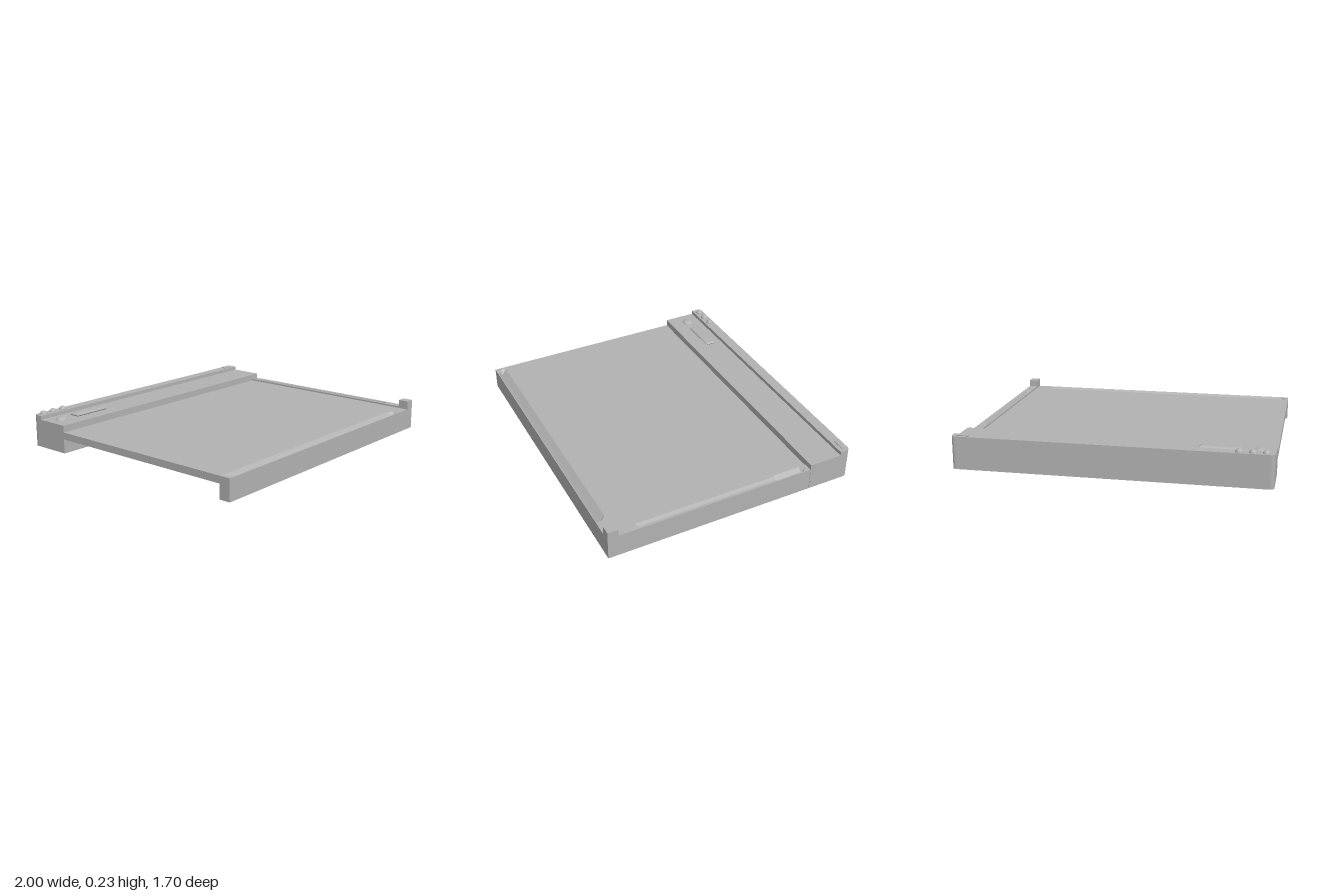
import * as THREE from 'three';

const grey = new THREE.MeshStandardMaterial({ color: 0xb2b2b2 });
grey.name = 'plain grey';

function add(group, name, geometry, x = 0, y = 0, z = 0) {
  const mesh = new THREE.Mesh(geometry, grey);
  mesh.name = name;
  mesh.position.set(x, y, z);
  group.add(mesh);
  return mesh;
}

// Box given by its limits on each axis
function box(group, name, x0, x1, y0, y1, z0, z1) {
  return add(group, name, new THREE.BoxGeometry(x1 - x0, y1 - y0, z1 - z0),
    (x0 + x1) / 2, (y0 + y1) / 2, (z0 + z1) / 2);
}

// Plan outline with rounded rear corners, raised between two heights
function plan(z0, z1, y0, y1, wall = 0) {
  const outline = (Type, inset, r) => {
    const w = 1 - inset, back = -z0 - inset, front = -z1 + inset;
    const s = new Type();
    s.moveTo(-w, front);
    s.lineTo(w, front);
    s.lineTo(w, back - r);
    s.quadraticCurveTo(w, back, w - r, back);
    s.lineTo(-w + r, back);
    s.quadraticCurveTo(-w, back, -w, back - r);
    s.closePath();
    return s;
  };
  const shape = outline(THREE.Shape, 0, 0.03);
  if (wall) shape.holes.push(outline(THREE.Path, wall, 0.02));
  const g = new THREE.ExtrudeGeometry(shape, { depth: y1 - y0, bevelEnabled: false, curveSegments: 5 });
  return g.rotateX(-Math.PI / 2).translate(0, y0, 0);
}

// Rail along x with a V groove; each section is [x, groove start, middle, end, depth]
function groovedRail(z0, z1, top, sections) {
  const rings = sections.map(([x, a, m, b, d]) => [
    [x, top, z0], [x, top, a], [x, top - d, m], [x, top, b], [x, top, z1], [x, 0, z1], [x, 0, z0],
  ]);
  const pos = [];
  const n = 7;
  for (let s = 0; s < rings.length - 1; s++) {
    const p = rings[s], q = rings[s + 1];
    for (let i = 0; i < n; i++) {
      const j = (i + 1) % n;
      pos.push(...p[i], ...p[j], ...q[j], ...p[i], ...q[j], ...q[i]);
    }
  }
  const first = rings[0], last = rings[rings.length - 1];
  for (let i = 0; i < n - 1; i++) {
    pos.push(...last[6], ...last[i], ...last[(i + 1) % n]);
    pos.push(...first[6], ...first[(i + 1) % n], ...first[i]);
  }
  const g = new THREE.BufferGeometry();
  g.setAttribute('position', new THREE.Float32BufferAttribute(pos, 3));
  g.computeVertexNormals();
  return g;
}

// Bar with sloping sides on all four edges
function bevelBar(w, d, h, slope) {
  const s = new THREE.Shape();
  const x = w / 2 - slope, y = d / 2 - slope;
  s.moveTo(-x, -y);
  s.lineTo(x, -y);
  s.lineTo(x, y);
  s.lineTo(-x, y);
  s.closePath();
  return new THREE.ExtrudeGeometry(s, {
    depth: 0.002, bevelThickness: h, bevelSize: slope, bevelSegments: 2,
  }).rotateX(-Math.PI / 2);
}

export function createModel() {
  const model = new THREE.Group();
  model.name = 'flatTray';

  // Thin main panel, open beneath and on its right side
  box(model, 'mainPanel', -1, 0.945, 0.095, 0.142, -0.56, 0.78);

  // Front and side rails with their grooves, joined by a raised post
  add(model, 'frontRail', groovedRail(0.775, 0.85, 0.142, [
    [-1, 0.78, 0.812, 0.845, 0], [-0.98, 0.78, 0.812, 0.845, 0],
    [-0.955, 0.78, 0.812, 0.845, 0.028], [0.8, 0.78, 0.812, 0.845, 0.028],
    [0.825, 0.78, 0.812, 0.845, 0], [0.94, 0.78, 0.812, 0.845, 0],
  ]));
  const side = add(model, 'sideRail', groovedRail(0.94, 1, 0.153, [
    [-0.78, 0.952, 0.968, 0.984, 0], [-0.655, 0.952, 0.968, 0.984, 0],
    [-0.635, 0.952, 0.968, 0.984, 0.025], [0.3, 0.952, 0.968, 0.984, 0.025],
    [0.305, 0.944, 0.968, 0.992, 0.03], [0.5, 0.944, 0.968, 0.992, 0.03],
    [0.525, 0.958, 0.968, 0.978, 0], [0.55, 0.958, 0.968, 0.978, 0],
  ]));
  side.rotation.y = Math.PI / 2;
  box(model, 'cornerPost', 0.938, 1, 0, 0.2, 0.78, 0.85);

  // Hollow rear housing, open at the bottom, with a raised back strip
  add(model, 'housingWalls', plan(-0.845, -0.552, 0, 0.178, 0.008));
  add(model, 'housingTop', plan(-0.845, -0.552, 0.178, 0.187));
  add(model, 'backStrip', plan(-0.845, -0.775, 0.187, 0.212));

  // Controls on the housing
  for (const x of [-0.948, -0.868, -0.786]) {
    add(model, 'smallButton', new THREE.SphereGeometry(0.025, 16, 10), x, 0.209, -0.812);
  }
  const knob = add(model, 'domeButton', new THREE.SphereGeometry(0.04, 24, 12), -0.902, 0.185, -0.685);
  knob.scale.y = 0.5;
  add(model, 'longButton', bevelBar(0.26, 0.072, 0.01, 0.018), -0.665, 0.193, -0.685);
  add(model, 'indicator', bevelBar(0.08, 0.028, 0.006, 0.008), 0.93, 0.214, -0.812);

  return model;
}
